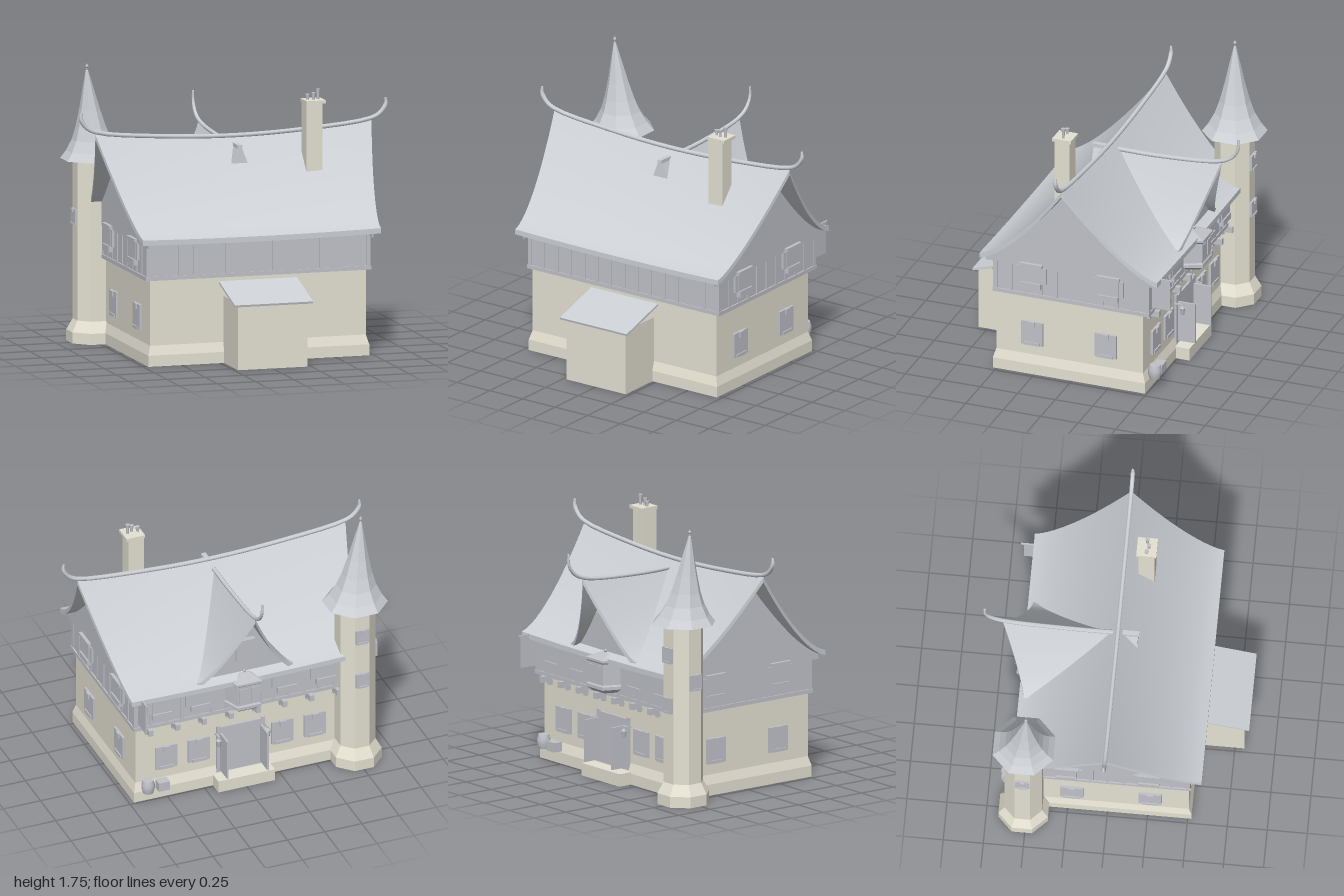
import * as THREE from 'three';
import { toCreasedNormals } from 'three/addons/utils/BufferGeometryUtils.js';

const stone = new THREE.MeshStandardMaterial({ color: 0xe4e1d2, side: THREE.DoubleSide });
stone.name = 'pale stone';
const slate = new THREE.MeshStandardMaterial({ color: 0xc0c2c9 });
slate.name = 'timber grey';
const tile = new THREE.MeshStandardMaterial({ color: 0xccd0d5 });
tile.name = 'roof grey';

const V = (x, y, z) => new THREE.Vector3(x, y, z);

function add(parent, name, geometry, material, x = 0, y = 0, z = 0) {
  const m = new THREE.Mesh(geometry, material);
  m.name = name;
  m.position.set(x, y, z);
  parent.add(m);
  return m;
}
const box = (p, name, mat, w, h, d, x, y, z) => add(p, name, new THREE.BoxGeometry(w, h, d), mat, x, y, z);

// Skin over a row of equal rings; caps join point i to point n-1-i.
function loft(rings, crease = 0.5, capped = true) {
  const n = rings[0].length, pos = rings.flat().flatMap(p => [p.x, p.y, p.z]);
  const tris = [], quad = (a, b, c, d) => tris.push([a, b, c], [a, c, d]);
  for (let r = 0; r < rings.length - 1; r++)
    for (let i = 0; i < n; i++) {
      const j = (i + 1) % n, a = r * n, b = a + n;
      quad(a + i, a + j, b + j, b + i);
    }
  const e = (rings.length - 1) * n;
  for (let i = 0; capped && i < n / 2 - 1; i++) {
    quad(n - 1 - i, n - 2 - i, i + 1, i);
    quad(e + i, e + i + 1, e + n - 2 - i, e + n - 1 - i);
  }
  const at = k => V(pos[3 * k], pos[3 * k + 1], pos[3 * k + 2]);
  const volume = tris.reduce((s, [a, b, c]) => s + at(a).dot(at(b).cross(at(c))), 0);
  const g = new THREE.BufferGeometry();
  g.setAttribute('position', new THREE.Float32BufferAttribute(pos, 3));
  g.setIndex(tris.flatMap(([a, b, c]) => (volume < 0 ? [a, c, b] : [a, b, c])));
  return toCreasedNormals(g, crease);
}

// Ridge beam along a planar curve, narrowing at its curled ends.
function beam(points, side, radius) {
  const curve = new THREE.CatmullRomCurve3(points), rings = [];
  for (let i = 0; i <= 40; i++) {
    const p = curve.getPoint(i / 40), n = side.clone().cross(curve.getTangent(i / 40)), r = radius(i / 40);
    rings.push([...Array(8).keys()].map(k => {
      const a = (k + 0.5) * Math.PI / 4;
      return p.clone().addScaledVector(n, r * Math.cos(a)).addScaledVector(side, r * Math.sin(a));
    }));
  }
  return loft(rings, 1);
}

// Octagonal lathe with crisp facets and flats facing the axes.
function octagon(points) {
  const g = new THREE.LatheGeometry(points.map(p => new THREE.Vector2(...p)), 8, Math.PI / 8).toNonIndexed();
  g.computeVertexNormals();
  return g;
}

const bend = t => Math.pow(1 - Math.abs(t), 1.4);
const mainRoof = (s, t) => {
  const h = bend(t);
  return V(s * (0.775 + 0.125 * h), 0.8 + 0.01 * s * s + h * (0.535 + 0.045 * s * s), 0.592 * t);
};
const dormerRoof = (v, t) => {
  const h = bend(t), y = 0.82 + h * (0.46 + 0.035 * v * v);
  const back = -0.592 * (1 - Math.pow(Math.min(1, (y - 0.8) / 0.535), 1 / 1.4)) + 0.03;
  return V(0.32 * t, y, THREE.MathUtils.lerp(back, -0.56 - 0.16 * h, v));
};

function roofShell(f, from, to, steps, thick) {
  const rings = [];
  for (let i = 0; i <= steps; i++) {
    const top = [];
    for (let j = -14; j <= 14; j++) top.push(f(from + (to - from) * i / steps, j / 14));
    rings.push([...top, ...top.map(p => V(p.x, p.y - thick, p.z)).reverse()]);
  }
  return loft(rings);
}

// Gable plate in x-y under a concave roof profile.
function gable(half, base, rise) {
  const s = new THREE.Shape();
  s.moveTo(-half, base - 0.04);
  for (let j = -14; j <= 14; j++) s.lineTo(half * j / 14, base + rise * bend(j / 14));
  s.lineTo(half, base - 0.04);
  return new THREE.ExtrudeGeometry(s, { depth: 0.01, bevelEnabled: false });
}

// Details face +z in their own frame; angle turns them to a wall.
function place(parent, name, x, y, z, angle) {
  const g = new THREE.Group();
  g.name = name;
  g.position.set(x, y, z);
  g.rotation.y = angle;
  parent.add(g);
  return g;
}
function lowerWindow(parent, x, y, z, angle, k = 1) {
  const g = place(parent, 'stoneWindow', x, y, z, angle);
  box(g, 'shutterPanel', slate, 0.145 * k, 0.16 * k, 0.03, 0, 0, 0);
  box(g, 'keystone', slate, 0.04 * k, 0.035 * k, 0.05, 0, 0.064 * k, 0);
  box(g, 'windowSill', slate, 0.1 * k, 0.02 * k, 0.045, 0, -0.07 * k, 0);
}
function upperWindow(parent, x, z, angle) {
  const g = place(parent, 'upperWindow', x, 0.69, z, angle);
  box(g, 'windowFrame', slate, 0.13, 0.16, 0.03, 0, 0.005, 0);
  box(g, 'windowHood', slate, 0.15, 0.02, 0.05, 0, 0.078, 0);
  box(g, 'planter', slate, 0.13, 0.04, 0.05, 0, -0.062, 0);
  for (const s of [-1, 1]) box(g, 'shutter', slate, 0.045, 0.11, 0.022, s * 0.075, 0.01, 0);
}

export function createModel() {
  const house = new THREE.Group();
  house.name = 'house';

  // Stone ground floor with flared plinth, hollow below a raised floor
  const rect = (y, x, f, b) => [V(-x, y, f), V(x, y, f), V(x, y, b), V(-x, y, b)];
  add(house, 'stoneWalls', loft([rect(0, 0.72, 0.525, -0.49), rect(0.07, 0.72, 0.525, -0.49),
    rect(0.13, 0.703, 0.507, -0.47), rect(0.54, 0.703, 0.507, -0.47)], 0.1, false), stone);
  box(house, 'floor', slate, 1.404, 0.01, 0.975, 0, 0.135, 0.0185);

  // Timber upper floor with sills and shallow studs
  box(house, 'upperFloor', slate, 1.45, 0.26, 1.03, 0, 0.67, 0);
  box(house, 'lowerSill', slate, 1.468, 0.025, 1.044, 0, 0.5525, 0);
  box(house, 'topPlate', slate, 1.462, 0.02, 1.04, 0, 0.79, 0);
  for (let i = 0; i <= 14; i++)
    for (const s of [-1, 1]) box(house, 'wallStud', slate, 0.025, 0.24, 0.008, -0.7155 + i * 1.431 / 14, 0.67, s * 0.516);
  for (let i = 0; i <= 10; i++)
    for (const s of [-1, 1]) box(house, 'endStud', slate, 0.008, 0.24, 0.025, s * 0.726, 0.67, -0.505 + i * 0.101);
  for (let i = 0; i < 8; i++) {
    box(house, 'corbel', slate, 0.03, 0.04, 0.08, -0.63 + i * 0.18, 0.525, -0.515);
    box(house, 'corbelFoot', slate, 0.025, 0.025, 0.03, -0.63 + i * 0.18, 0.495, -0.48);
  }

  // Swept main roof, gables and curled ridge
  add(house, 'mainRoof', roofShell(mainRoof, -1, 1, 24, 0.033), tile);
  for (const s of [-1, 1]) {
    const g = add(house, 'endGable', gable(0.57, 0.79, 0.56), slate, s * 0.728 + 0.005, 0, 0);
    g.rotation.y = -Math.PI / 2;
  }
  const curl = [[0.992, 1.53], [0.994, 1.49], [0.962, 1.44], [0.9, 1.405], [0.5, 1.36]];
  add(house, 'mainRidge', beam([...curl.map(([x, y]) => V(-x, y, 0)), V(0, 1.34, 0),
    ...curl.map(([x, y]) => V(x, y, 0)).reverse()], V(0, 0, 1),
    u => 0.007 + 0.007 * Math.min(1, 8 * Math.min(u, 1 - u))), tile);

  // Back cross gable
  add(house, 'dormerRoof', roofShell(dormerRoof, 0, 1, 12, 0.033), tile);
  add(house, 'dormerGable', gable(0.305, 0.81, 0.46), slate, 0, 0, -0.53);
  add(house, 'dormerRidge', beam([V(0, 1.285, 0), V(0, 1.285, -0.3), V(0, 1.318, -0.7), V(0, 1.36, -0.79),
    V(0, 1.42, -0.83), V(0, 1.49, -0.833)], V(1, 0, 0), u => 0.014 - 0.007 * u * u), tile);
  box(house, 'atticWindow', slate, 0.11, 0.14, 0.03, 0, 0.98, -0.535);
  box(house, 'atticWindowHood', slate, 0.13, 0.02, 0.045, 0, 1.055, -0.54);

  // Small roof vent on the front slope
  const vent = [[-0.065, 1.155], [-0.018, 1.275], [0.018, 1.275], [0.065, 1.155]];
  add(house, 'ventRoof', loft([0.02, 0.125].map(z => vent.map(([x, y]) => V(x, y, z))), 0.1), tile);
  box(house, 'ventPeak', tile, 0.03, 0.025, 0.11, 0, 1.287, 0.08);

  // Chimney with cap and three pots
  box(house, 'chimney', stone, 0.105, 0.45, 0.1, 0.468, 1.325, 0.14);
  box(house, 'chimneyCap', stone, 0.125, 0.02, 0.125, 0.477, 1.555, 0.137);
  [[0.44, 1.6], [0.475, 1.61], [0.508, 1.63]].forEach(([x, top], i) => {
    const z = 0.137 + (i === 1 ? 0.012 : 0), h = top - 1.56;
    add(house, 'chimneyPot', new THREE.CylinderGeometry(0.009, 0.009, h, 10), slate, x, 1.56 + h / 2, z);
    add(house, 'potRim', new THREE.CylinderGeometry(0.014, 0.012, 0.02, 10), slate, x, top - 0.01, z);
  });

  // Front lean-to, open underneath
  add(house, 'leanToWalls', loft([0, 0.42].map(y => rect(y, 0.226, 0.81, 0.507)), 0.1, false), stone);
  const slab = box(house, 'leanToRoof', tile, 0.51, 0.014, 0.35, 0, 0.458, 0.672);
  slab.rotation.x = Math.atan2(0.1, 0.335);

  // Corner tower with crooked spire
  const tower = place(house, 'tower', -0.752, 0, -0.518, 0);
  add(tower, 'towerShaft', octagon([[0.167, 0], [0.167, 0.07], [0.127, 0.14], [0.127, 1.18]]), stone);
  const spire = octagon([[0, 1.17], [0.205, 1.15], [0.165, 1.2], [0.125, 1.27], [0.096, 1.35],
    [0.066, 1.46], [0.034, 1.6], [0.008, 1.71], [0, 1.715]]);
  const p = spire.attributes.position;
  for (let i = 0; i < p.count; i++) {
    const k = Math.max(0, p.getY(i) - 1.15) / 0.56;
    p.setX(i, p.getX(i) - 0.045 * k);
    p.setZ(i, p.getZ(i) + 0.016 * k);
  }
  spire.computeVertexNormals();
  add(tower, 'spire', spire, tile);
  add(tower, 'finialRod', new THREE.CylinderGeometry(0.004, 0.005, 0.06, 8), slate, -0.045, 1.72, 0.016);
  add(tower, 'finialBall', new THREE.SphereGeometry(0.011, 10, 8), slate, -0.045, 1.735, 0.016);
  lowerWindow(tower, 0, 0.96, -0.117, Math.PI, 0.62);
  lowerWindow(tower, 0, 0.64, -0.117, Math.PI, 0.62);
  lowerWindow(tower, -0.117, 0.79, 0, -Math.PI / 2, 0.62);

  // Windows on the ends and the back
  for (const s of [-1, 1]) {
    for (const z of [0.265, -0.225]) lowerWindow(house, s * 0.703, 0.28, z, s * Math.PI / 2);
    for (const z of [0.26, -0.255]) upperWindow(house, s * 0.73, z, s * Math.PI / 2);
    for (const x of [0.28, 0.5]) lowerWindow(house, s * x, 0.28, -0.47, Math.PI);
    for (const x of [0.29, 0.55]) upperWindow(house, s * x, -0.52, Math.PI);
  }

  // Oriel bay over the entrance
  const bay = (y, k) => [[-0.12, -0.51], [-0.075, -0.62], [0.075, -0.62], [0.12, -0.51]]
    .map(([x, z]) => V(x * k, y, -0.5 + (z + 0.5) * k));
  add(house, 'oriel', loft([bay(0.575, 0.8), bay(0.6, 1.06), bay(0.62, 1.06), bay(0.63, 1),
    bay(0.765, 1), bay(0.775, 1.1), bay(0.79, 1.1), bay(0.82, 0.4)], 0.1), slate);
  for (const x of [-0.04, 0.04]) box(house, 'orielPane', slate, 0.055, 0.1, 0.02, x, 0.7, -0.615);
  add(house, 'orielFinial', new THREE.SphereGeometry(0.01, 8, 6), slate, 0, 0.83, -0.54);

  // Entrance with open leaves, lanterns and step
  box(house, 'entranceStep', stone, 0.38, 0.08, 0.12, 0, 0.04, -0.52);
  box(house, 'doorway', slate, 0.28, 0.33, 0.03, 0, 0.245, -0.47);
  for (const s of [-1, 1]) {
    box(house, 'doorLeaf', slate, 0.012, 0.27, 0.13, s * 0.135, 0.235, -0.535);
    box(house, 'doorPost', slate, 0.025, 0.34, 0.03, s * 0.15, 0.25, -0.47);
    box(house, 'lanternBracket', slate, 0.01, 0.01, 0.06, s * 0.165, 0.365, -0.5);
    add(house, 'lantern', new THREE.CylinderGeometry(0.018, 0.011, 0.045, 6), slate, s * 0.165, 0.322, -0.525);
    add(house, 'lanternTop', new THREE.ConeGeometry(0.02, 0.022, 6), slate, s * 0.165, 0.355, -0.525);
  }

  // Hanging sign, barrel and crate
  box(house, 'signBoard', slate, 0.01, 0.2, 0.12, 0.705, 0.7, -0.593);
  box(house, 'signArm', slate, 0.01, 0.01, 0.155, 0.705, 0.803, -0.593);
  const barrel = [[0, 0], [0.033, 0], [0.042, 0.03], [0.042, 0.06], [0.033, 0.09], [0, 0.09]];
  add(house, 'barrel', toCreasedNormals(new THREE.LatheGeometry(barrel.map(q => new THREE.Vector2(...q)), 16), 0.8),
    slate, 0.64, 0.08, -0.525);
  box(house, 'crate', slate, 0.075, 0.06, 0.06, 0.54, 0.11, -0.52);

  return house;
}
